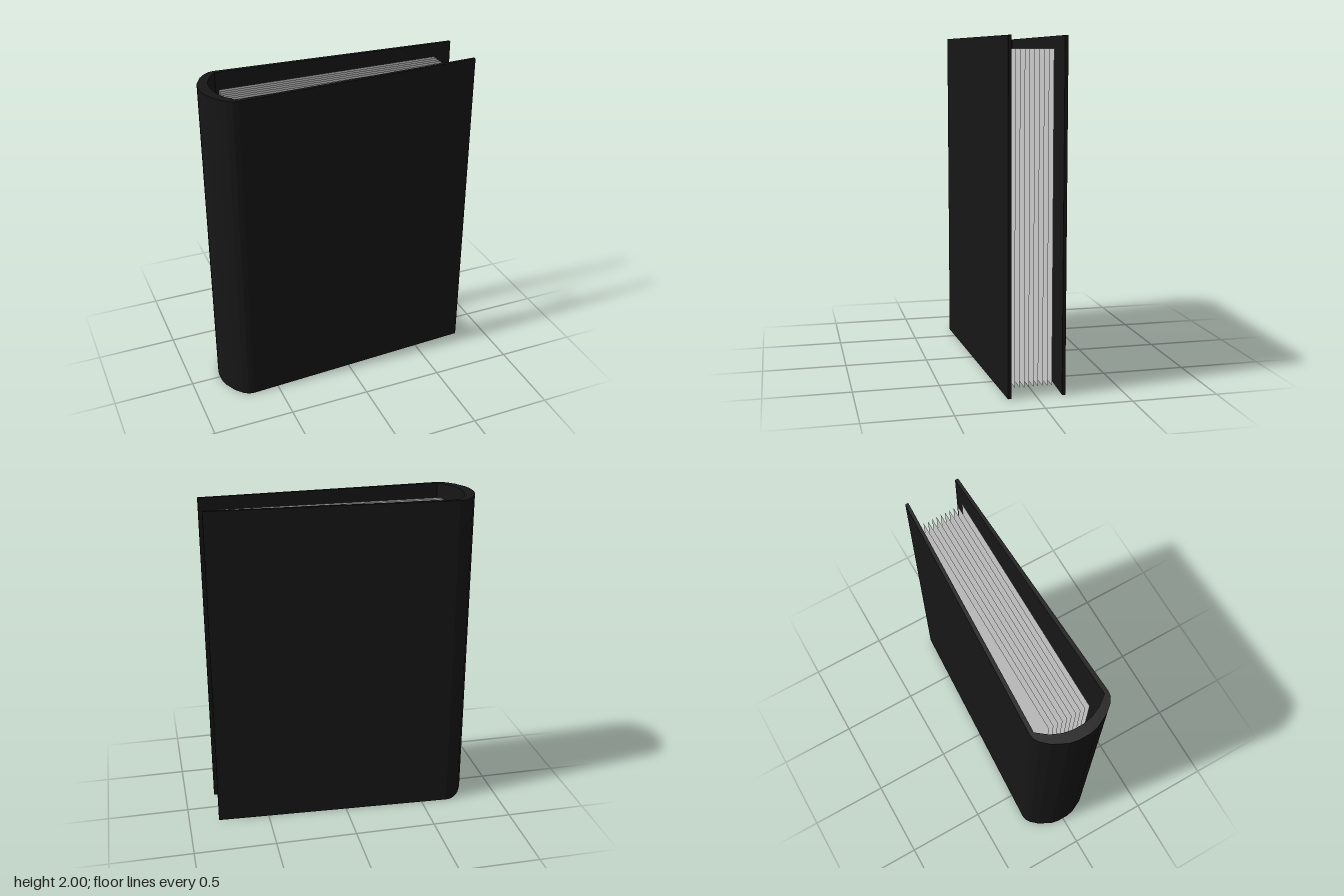
import * as THREE from 'three';

const coverMat = new THREE.MeshStandardMaterial({ color: 0x161616, flatShading: true });
const pageMat = new THREE.MeshStandardMaterial({ color: 0xcccccc, side: THREE.DoubleSide });

// Mirror a half outline (x, z) across z = 0 and extrude it upwards.
function mirroredPrism(half, y0, height) {
  const other = half.map(([x, z]) => [x, -z]).reverse();
  const shape = new THREE.Shape([...half, ...other].map(([x, z]) => new THREE.Vector2(x, -z)));
  const geo = new THREE.ExtrudeGeometry(shape, { depth: height, bevelEnabled: false });
  geo.rotateX(-Math.PI / 2);
  geo.translate(0, y0, 0);
  return geo;
}

function addMesh(parent, name, geo, mat) {
  const mesh = new THREE.Mesh(geo, mat);
  mesh.name = name;
  parent.add(mesh);
}

export function createModel() {
  const book = new THREE.Group();
  book.name = 'book';

  // Rounded hollow spine: outer curve, then inner curve
  const outer = [[-0.815, 0.035], [-0.805, 0.085], [-0.765, 0.165], [-0.725, 0.21], [-0.695, 0.23], [-0.665, 0.235]];
  const inner = [[-0.665, 0.212], [-0.715, 0.148], [-0.742, 0.085], [-0.752, 0.03]];
  addMesh(book, 'spine', mirroredPrism([...inner.slice().reverse(), ...outer.slice().reverse()], 0, 2), coverMat);

  // Two cover boards leaning towards each other at the open edge
  for (const s of [1, -1]) {
    const pts = [[-0.665, 0.21], [0.815, 0.147], [0.815, 0.166], [-0.665, 0.235]];
    const shape = new THREE.Shape(pts.map(([x, z]) => new THREE.Vector2(x, -s * z)));
    const geo = new THREE.ExtrudeGeometry(shape, { depth: 2, bevelEnabled: false });
    geo.rotateX(-Math.PI / 2);
    addMesh(book, s > 0 ? 'frontCover' : 'backCover', geo, coverMat);
  }

  // Thin page sheets
  const pages = new THREE.Group();
  pages.name = 'pages';
  const count = 10;
  for (let i = 0; i < count; i++) {
    const geo = new THREE.PlaneGeometry(1.37, 1.91);
    geo.translate(0.015, 0.975, -0.12 + (0.245 * i) / (count - 1));
    addMesh(pages, 'page', geo, pageMat);
  }
  book.add(pages);

  // Curved binding cords behind the pages
  const cord = [[-0.625, 0.032], [-0.65, 0.092], [-0.715, 0.132], [-0.7, 0.152], [-0.63, 0.106], [-0.595, 0.036]];
  for (const y of [0.69, 1.2]) {
    addMesh(book, 'bindingCord', mirroredPrism(cord, y - 0.011, 0.022), coverMat);
  }
  return book;
}
